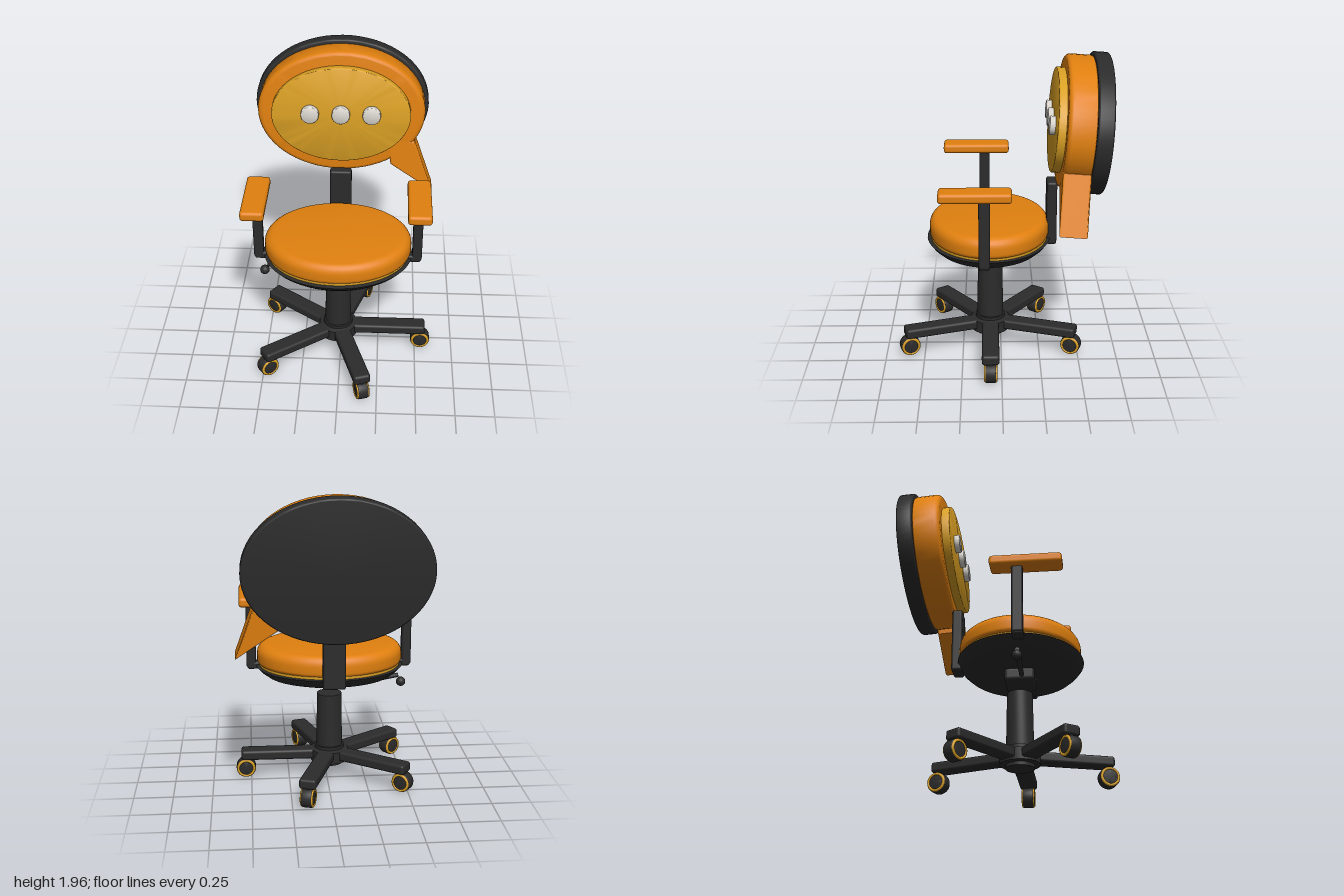
import * as THREE from 'three';
import { RoundedBoxGeometry } from 'three/addons/geometries/RoundedBoxGeometry.js';
import { toCreasedNormals } from 'three/addons/utils/BufferGeometryUtils.js';

const mat = (name, color) => {
  const m = new THREE.MeshStandardMaterial({ color });
  m.name = name;
  return m;
};

export function createModel() {
  const orange = mat('orange', 0xe0800f);
  const gold = mat('gold', 0xdaa024);
  const black = mat('black', 0x2b2b2b);
  const white = mat('white', 0xdad6ce);

  const model = new THREE.Group();
  model.name = 'chair';
  const CX = -0.02, CZ = 0.075;

  const add = (parent, name, geometry, material, x = 0, y = 0, z = 0) => {
    const mesh = new THREE.Mesh(geometry, material);
    mesh.name = name;
    mesh.position.set(x, y, z);
    parent.add(mesh);
    return mesh;
  };
  const box = (w, h, d, r = 0.012) => new RoundedBoxGeometry(w, h, d, 3, r);

  // Turned solid with an elliptical plan
  const turned = (points, ratio = 1, segments = 64) => {
    const g = new THREE.LatheGeometry(points.map(([r, y]) => new THREE.Vector2(r, y)), segments);
    g.scale(1, 1, ratio);
    return toCreasedNormals(g, 0.7);
  };

  // Elliptical pad with rounded rims
  const pad = (rx, rz, h, bevelLow, bevelHigh = bevelLow, segments = 64) => {
    const points = [[0, -h / 2]];
    for (const [s, b] of [[-1, bevelLow], [1, bevelHigh]]) {
      for (let i = 0; i <= 6; i++) {
        const a = (s < 0 ? i - 6 : i) * Math.PI / 12;
        points.push([rx - b + b * Math.cos(a), s * (h / 2 - b) + b * Math.sin(a)]);
      }
    }
    points.push([0, h / 2]);
    return turned(points, rz / rx, segments);
  };
  const upright = (g) => g.rotateX(Math.PI / 2);

  // Pedestal
  const base = new THREE.Group();
  base.name = 'base';
  base.position.set(CX, 0, CZ - 0.005);
  model.add(base);
  add(base, 'column', turned([
    [0, 0.09], [0.09, 0.09], [0.09, 0.112], [0.125, 0.115], [0.125, 0.19], [0.096, 0.2],
    [0.096, 0.22], [0.086, 0.222], [0.08, 0.575], [0, 0.575],
  ], 1, 40), black);

  // Five legs, each with a caster
  for (let i = 0; i < 5; i++) {
    const leg = new THREE.Group();
    leg.name = 'leg';
    leg.rotation.y = -i * Math.PI * 2 / 5;
    base.add(leg);
    add(leg, 'legBeam', box(0.56, 0.066, 0.11, 0.018), black, 0.305, 0.162);
    add(leg, 'casterStem', new THREE.CylinderGeometry(0.025, 0.025, 0.07, 16), black, 0.555, 0.11);
    add(leg, 'casterWheel', upright(pad(0.064, 0.064, 0.074, 0.012, 0.012, 32)), black, 0.555, 0.069);
    for (const s of [-1, 1]) {
      add(leg, 'casterRing', new THREE.TorusGeometry(0.052, 0.009, 8, 32), gold, 0.555, 0.069, s * 0.033);
    }
  }

  // Seat
  add(model, 'mechanism', box(0.22, 0.09, 0.19, 0.025), black, CX, 0.673, CZ);
  add(model, 'seatPan', turned([
    [0, 0.705], [0.37, 0.705], [0.41, 0.715], [0.45, 0.745], [0.477, 0.775], [0.45, 0.78], [0, 0.78],
  ], 0.83), black, CX, 0, CZ + 0.003);
  add(model, 'seatTrim', pad(0.455, 0.375, 0.03, 0.006), gold, CX, 0.783, CZ);
  add(model, 'seatCushion', pad(0.47, 0.383, 0.132, 0.03, 0.062), orange, CX, 0.855, CZ);

  // Height lever
  const lever = add(model, 'lever', new THREE.CylinderGeometry(0.015, 0.015, 0.275, 12), black, -0.345, 0.651, 0.1);
  lever.rotation.z = Math.PI / 2 - 0.18;
  add(model, 'leverKnob', new THREE.SphereGeometry(0.031, 20, 14), black, -0.498, 0.63, 0.1);

  // Armrests
  for (const s of [-1, 1]) {
    const arm = new THREE.Group();
    arm.name = s < 0 ? 'rightArmrest' : 'leftArmrest';
    arm.position.x = CX;
    model.add(arm);
    add(arm, 'armPad', box(0.147, 0.062, 0.44, 0.02), orange, s * 0.508, 1.22, 0.16);
    add(arm, 'armPost', box(0.062, 0.45, 0.07, 0.015), black, s * 0.508, 0.98, 0.105);
    add(arm, 'armBracket', box(0.13, 0.05, 0.07, 0.015), black, s * 0.468, 0.77, 0.105);
  }

  // Back support
  add(model, 'backPost', box(0.143, 0.42, 0.066, 0.015), black, CX, 0.94, -0.325);

  // Speech-bubble backrest, leaning slightly back
  const back = new THREE.Group();
  back.name = 'backrest';
  back.position.set(CX, 1.565, 0);
  back.rotation.x = -0.073;
  model.add(back);
  add(back, 'backShell', upright(pad(0.566, 0.434, 0.1, 0.015)), black, 0, 0.045, -0.595);
  add(back, 'bubble', upright(pad(0.54, 0.41, 0.17, 0.012, 0.035)), orange, 0, 0.045, -0.462);
  add(back, 'bubblePanel', upright(pad(0.447, 0.32, 0.055, 0.008)), gold, 0, 0.048, -0.354);
  for (const x of [-0.198, 0, 0.197]) {
    add(back, 'dot', upright(pad(0.058, 0.058, 0.04, 0.006, 0.006, 28)), white, x, 0.06, -0.311);
  }

  // Pointed bubble tail
  const tail = new THREE.Shape([
    [0.325, -0.315], [0.605, -0.505], [0.48, -0.15], [0.3, -0.12],
  ].map(([x, y]) => new THREE.Vector2(x, y)));
  add(back, 'bubbleTail', new THREE.ExtrudeGeometry(tail, {
    depth: 0.146, bevelThickness: 0.012, bevelSize: 0.012, bevelOffset: -0.012, bevelSegments: 3,
  }), orange, 0, 0, -0.535);

  // Align the lean so the shells sit at their measured heights
  back.children.forEach((part) => { part.position.y -= 0.041; });
  return model;
}
